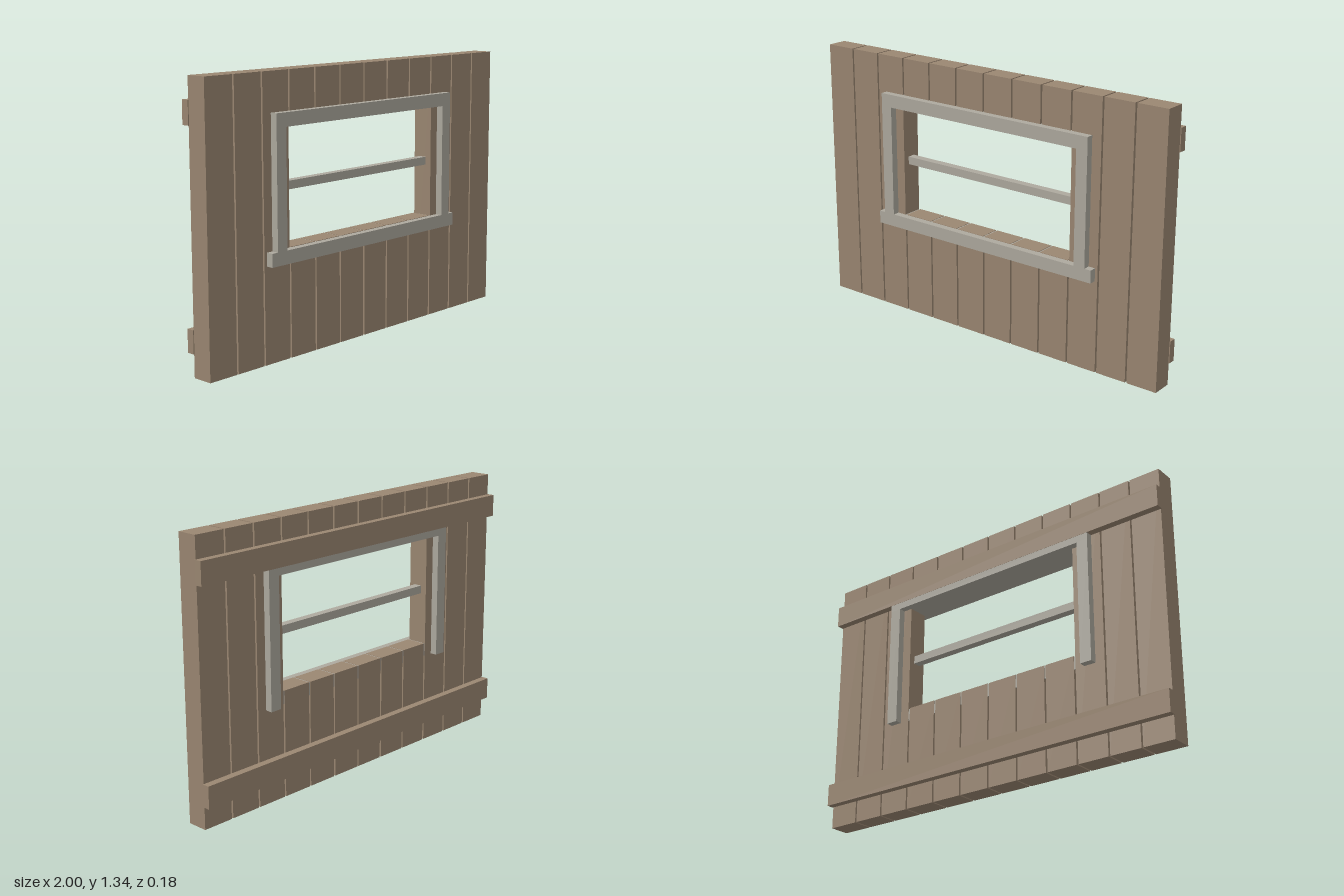
import * as THREE from 'three';

const wood = new THREE.MeshStandardMaterial({ color: 0x9b8772 });
wood.name = 'brown wood';
const trim = new THREE.MeshStandardMaterial({ color: 0xaeaa9f });
trim.name = 'grey trim';

// Box given by its min and max on each axis
function bar(group, name, material, [x0, x1], [y0, y1], [z0, z1]) {
  const mesh = new THREE.Mesh(new THREE.BoxGeometry(x1 - x0, y1 - y0, z1 - z0), material);
  mesh.position.set((x0 + x1) / 2, (y0 + y1) / 2, (z0 + z1) / 2);
  mesh.name = name;
  group.add(mesh);
}

export function createModel() {
  const model = new THREE.Group();
  model.name = 'plankWallWithWindow';

  const height = 1.335, count = 12, pitch = 2 / count, gap = 0.009;
  const depth = [-0.052, 0.052];

  // Upright planks; the middle six are cut for the window opening
  const planks = new THREE.Group();
  planks.name = 'planks';
  for (let i = 0; i < count; i++) {
    const x = [-1 + i * pitch + gap / 2, -1 + (i + 1) * pitch - gap / 2];
    if (i >= 3 && i <= 8) {
      bar(planks, 'lowerPlank', wood, x, [0, 0.526], depth);
      bar(planks, 'upperPlank', wood, x, [1.087, height], depth);
    } else {
      bar(planks, 'fullPlank', wood, x, [0, height], depth);
    }
  }
  model.add(planks);

  // Battens across the back
  bar(model, 'lowerBatten', wood, [-1, 1], [0.11, 0.22], [-0.088, -0.05]);
  bar(model, 'upperBatten', wood, [-1, 1], [1.12, 1.23], [-0.088, -0.05]);

  // Window frame, passing through the wall
  const frame = new THREE.Group();
  frame.name = 'windowFrame';
  bar(frame, 'frameHead', trim, [-0.613, 0.613], [1.085, 1.15], [-0.05, 0.088]);
  bar(frame, 'backHead', trim, [-0.613, 0.613], [1.085, 1.12], [-0.087, -0.05]);
  bar(frame, 'sill', trim, [-0.648, 0.648], [0.46, 0.524], [-0.05, 0.088]);
  for (const side of [-1, 1]) {
    const x = side < 0 ? [-0.613, -0.553] : [0.553, 0.613];
    bar(frame, 'frontJamb', trim, x, [0.524, 1.085], [0.04, 0.088]);
    bar(frame, 'backJamb', trim, x, [0.46, 1.085], [-0.087, -0.04]);
  }
  bar(frame, 'crossbar', trim, [-0.508, 0.508], [0.785, 0.825], [-0.02, 0.02]);
  model.add(frame);

  return model;
}
